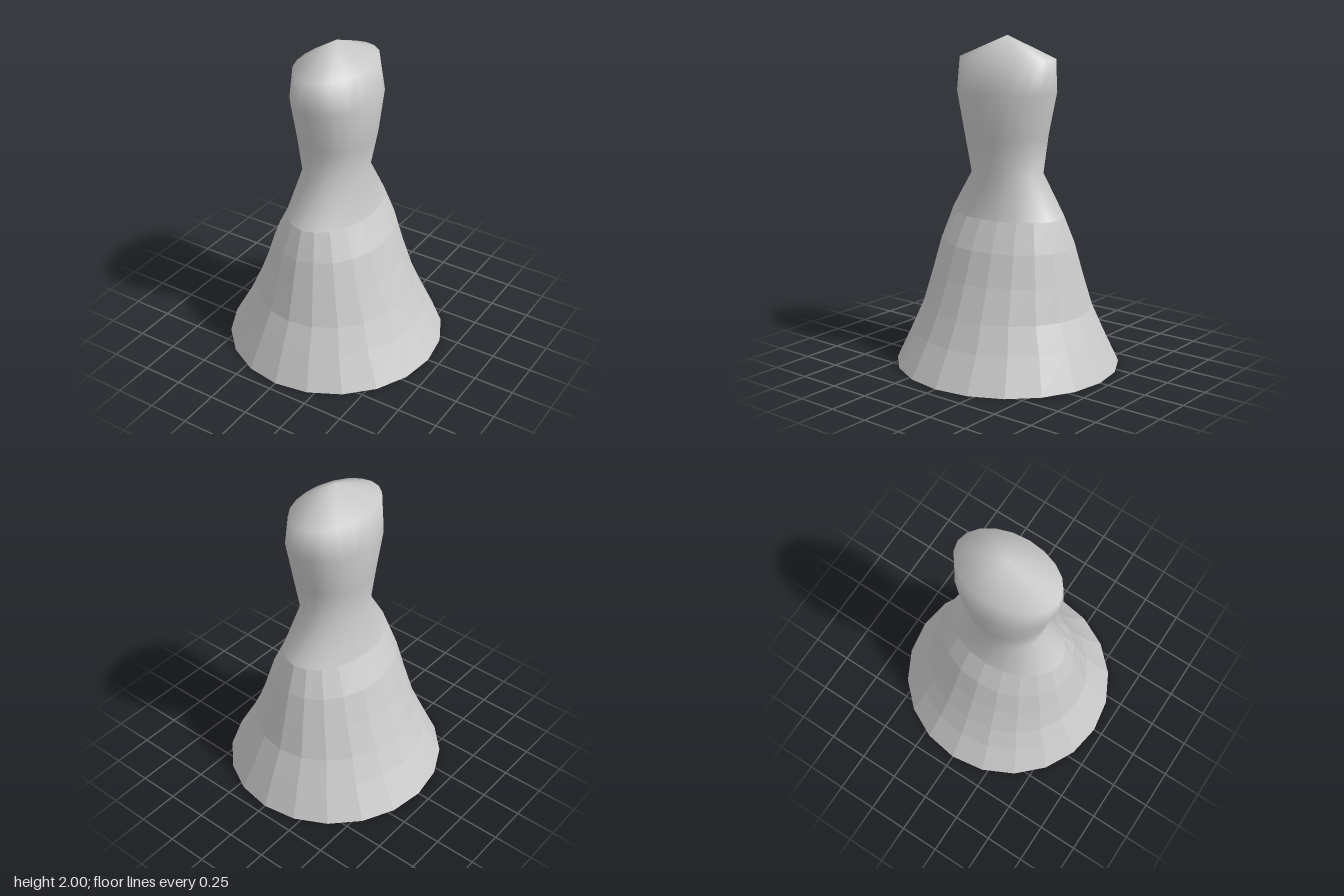
import * as THREE from 'three';

const SIDES = 20;

// Skin of elliptical rings [y, radiusX, radiusZ, centreX], with an optional apex on top
function ringSkin(rings, apexY) {
  const pos = [], index = [];
  for (const [y, rx, rz, cx = 0] of rings) {
    for (let i = 0; i < SIDES; i++) {
      const a = (i / SIDES) * Math.PI * 2;
      pos.push(cx + rx * Math.sin(a), y, rz * Math.cos(a));
    }
  }
  for (let r = 0; r < rings.length - 1; r++) {
    for (let i = 0; i < SIDES; i++) {
      const a = r * SIDES + i, b = r * SIDES + (i + 1) % SIDES;
      index.push(a, b, b + SIDES, a, b + SIDES, a + SIDES);
    }
  }
  if (apexY !== undefined) {
    const top = rings.length * SIDES, base = top - SIDES;
    pos.push(0, apexY, 0);
    for (let i = 0; i < SIDES; i++) index.push(base + i, base + (i + 1) % SIDES, top);
  }
  const geometry = new THREE.BufferGeometry();
  geometry.setAttribute('position', new THREE.Float32BufferAttribute(pos, 3));
  geometry.setIndex(index);
  geometry.computeVertexNormals();
  return geometry;
}

export function createModel() {
  const group = new THREE.Group();
  group.name = 'dress';
  const add = (name, geometry, flatShading) => {
    const material = new THREE.MeshStandardMaterial({
      color: 0xcccccc, flatShading, side: THREE.DoubleSide,
    });
    const mesh = new THREE.Mesh(geometry, material);
    mesh.name = name;
    group.add(mesh);
  };

  // Faceted flared skirt, open at the hem
  const hip = [0.935, 0.255, 0.385];
  add('skirt', ringSkin([
    [0, 0.675, 0.693],
    [0.21, 0.557, 0.605],
    [0.37, 0.485, 0.535],
    [0.57, 0.406, 0.487],
    [0.76, 0.342, 0.442],
    hip,
  ]), true);

  // Smooth bodice from hip through waist and chest to the peaked top
  add('bodice', ringSkin([
    hip,
    [1.18, 0.192, 0.23],
    [1.41, 0.23, 0.262, 0.008],
    [1.67, 0.254, 0.322, 0.006],
    [1.865, 0.213, 0.326],
  ], 2), false);

  return group;
}
